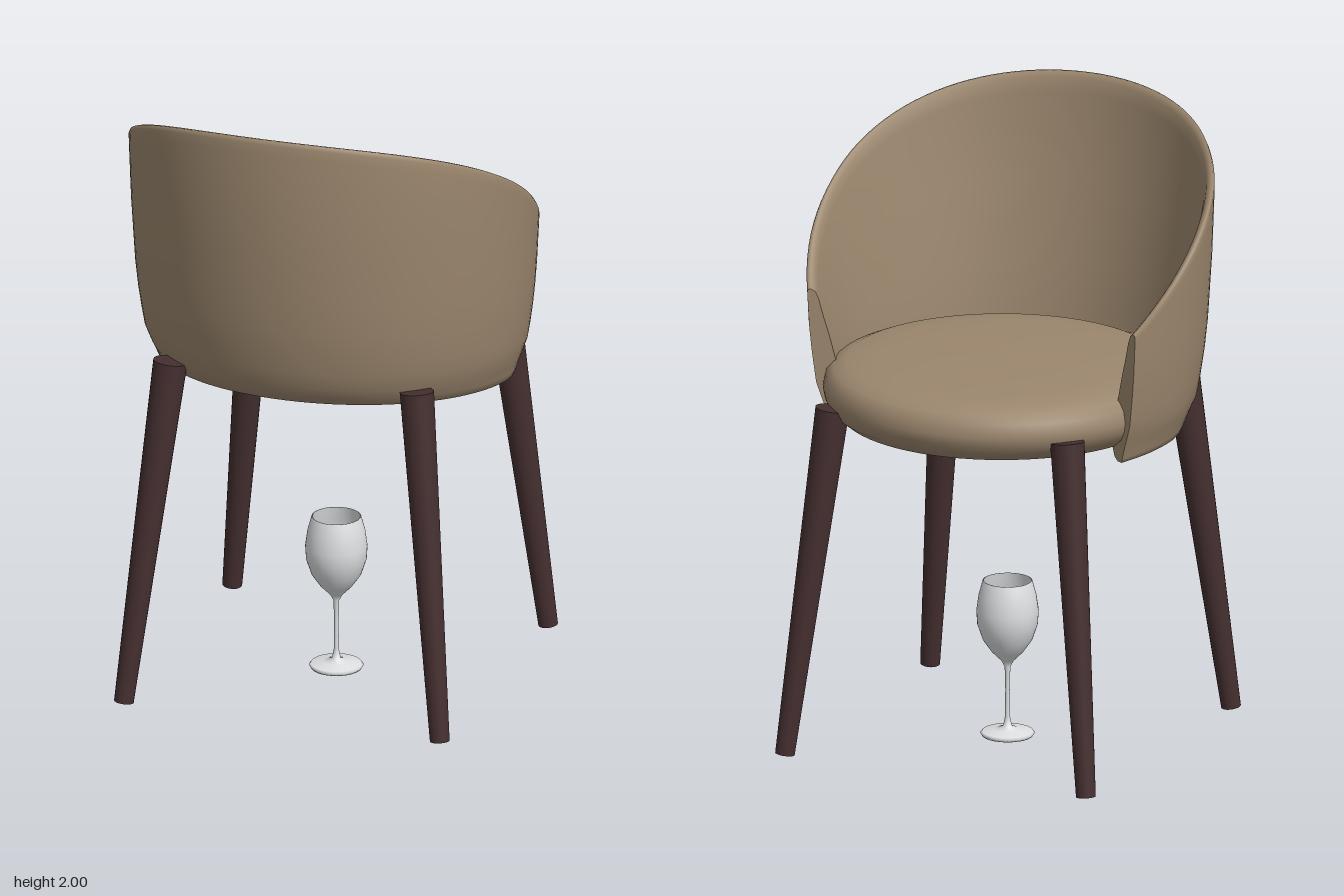
import * as THREE from 'three';

const material = (name, color, side = THREE.FrontSide) => {
  const m = new THREE.MeshStandardMaterial({ color, side });
  m.name = name;
  return m;
};

// Linear lookup in a short list of [input, output] pairs.
function lookup(table, v) {
  if (v <= table[0][0]) return table[0][1];
  for (let i = 1; i < table.length; i++) {
    const [a, p] = table[i - 1], [b, q] = table[i];
    if (v <= b) return p + (q - p) * (v - a) / (b - a);
  }
  return table[table.length - 1][1];
}

// Wrap-around backrest: a closed cross-section swept around the seat.
const INSET = [[1.03, 0.15], [1.09, 0.115], [1.15, 0.075], [1.25, 0.05], [1.35, 0.032], [1.6, 0.01], [1.8, 0], [2, 0.004]];
const OUTER = [0, 0.03, 0.07, 0.13, 0.2, 0.3, 0.42, 0.55, 0.7, 0.85, 0.95, 0.985, 1];
const INNER = [[1, 0.014], [0.98, 0.026], [0.93, 0.034], [0.8, 0.046], [0.65, 0.06], [0.5, 0.07],
  [0.35, 0.077], [0.2, 0.075], [0.1, 0.06], [0.03, 0.04], [0, 0.02]];

function shellSection(angle) {
  const s = Math.sin(angle), c = Math.cos(angle);
  const z = 0.615 * c;
  const top = 1.682 + 0.707 * z - 0.305 * z * z;
  const bottom = 1.047 + 0.07 * z;
  const soft = 0.55 + 0.45 * Math.max(0, c);
  const point = (t, depth) => {
    const y = bottom + (top - bottom) * t;
    const inset = lookup(INSET, y) * soft + depth;
    return [(0.652 - inset) * s, y, (0.615 - inset) * c];
  };
  return [
    ...OUTER.map(t => point(t, t === 1 ? 0.005 : 0)),
    ...INNER.map(([t, depth]) => point(t, depth)),
  ];
}

function shellGeometry() {
  const steps = 72, end = THREE.MathUtils.degToRad(117);
  const pos = [], index = [];
  let n = 0;
  for (let i = 0; i <= steps; i++) {
    const section = shellSection(-end + 2 * end * i / steps);
    n = section.length;
    section.forEach(p => pos.push(...p));
  }
  for (let i = 0; i < steps; i++) {
    for (let j = 0; j < n; j++) {
      const k = (j + 1) % n;
      const a = i * n + j, b = i * n + k, c = a + n, d = b + n;
      index.push(a, c, b, b, c, d);
    }
  }
  // Flat end faces: strips joining outer and inner edges.
  for (const sign of [-1, 1]) {
    const base = pos.length / 3;
    shellSection(sign * end).forEach(p => pos.push(...p));
    let lo = 0, hi = n - 1;
    const tri = (a, b, c) => (sign < 0 ? index.push(base + a, base + b, base + c) : index.push(base + a, base + c, base + b));
    while (hi - lo > 1) {
      tri(lo, lo + 1, hi);
      lo++;
      if (hi - lo > 1) {
        tri(lo, hi - 1, hi);
        hi--;
      }
    }
  }
  const g = new THREE.BufferGeometry();
  g.setAttribute('position', new THREE.Float32BufferAttribute(pos, 3));
  g.setIndex(index);
  g.computeVertexNormals();
  return g;
}

const lathe = (points, segments) =>
  new THREE.LatheGeometry(points.map(([r, y]) => new THREE.Vector2(r, y)), segments);

export function createModel() {
  const model = new THREE.Group();
  model.name = 'chairAndGlass';
  const fabric = material('tan upholstery', 0x9c876e, THREE.DoubleSide);
  const wood = material('dark wood', 0x452f30);
  const glassWhite = material('pale glass', 0xdcdee0, THREE.DoubleSide);

  const add = (name, geometry, mat, parent = model) => {
    const mesh = new THREE.Mesh(geometry, mat);
    mesh.name = name;
    parent.add(mesh);
    return mesh;
  };

  add('backrestShell', shellGeometry(), fabric);

  // Round cushion, slightly domed on top
  const seat = add('seatCushion', lathe([
    [0, 1.062], [0.47, 1.062], [0.505, 1.072], [0.54, 1.1], [0.556, 1.13], [0.562, 1.16],
    [0.553, 1.2], [0.53, 1.225], [0.49, 1.242], [0.4, 1.252], [0.22, 1.258], [0, 1.26],
  ], 72), fabric);
  seat.position.z = -0.05;

  // Four splayed, tapered legs
  const up = new THREE.Vector3(0, 1, 0);
  for (const sx of [-1, 1]) {
    for (const sz of [-1, 1]) {
      const foot = new THREE.Vector3(0.523 * sx, 0.015, sz < 0 ? -0.533 : 0.52);
      const head = new THREE.Vector3(0.408 * sx, 1.135, sz < 0 ? -0.428 : 0.405);
      const axis = head.clone().sub(foot);
      const leg = add((sz < 0 ? 'front' : 'back') + (sx > 0 ? 'Left' : 'Right') + 'Leg',
        new THREE.CylinderGeometry(0.054, 0.031, axis.length(), 24), wood);
      leg.position.copy(foot).add(head).multiplyScalar(0.5);
      leg.quaternion.setFromUnitVectors(up, axis.normalize());
    }
  }

  // Stemmed glass standing under the seat
  const glass = add('wineGlass', lathe([
    [0, 0], [0.08, 0], [0.085, 0.008], [0.08, 0.014], [0.04, 0.02], [0.014, 0.03], [0.008, 0.06],
    [0.007, 0.15], [0.009, 0.225], [0.02, 0.245], [0.05, 0.275], [0.078, 0.315], [0.095, 0.365],
    [0.098, 0.41], [0.091, 0.46], [0.078, 0.508], [0.074, 0.508], [0.087, 0.46], [0.094, 0.41],
    [0.091, 0.366], [0.074, 0.318], [0.046, 0.28], [0, 0.255],
  ], 40), glassWhite);
  glass.position.z = -0.01;

  return model;
}
